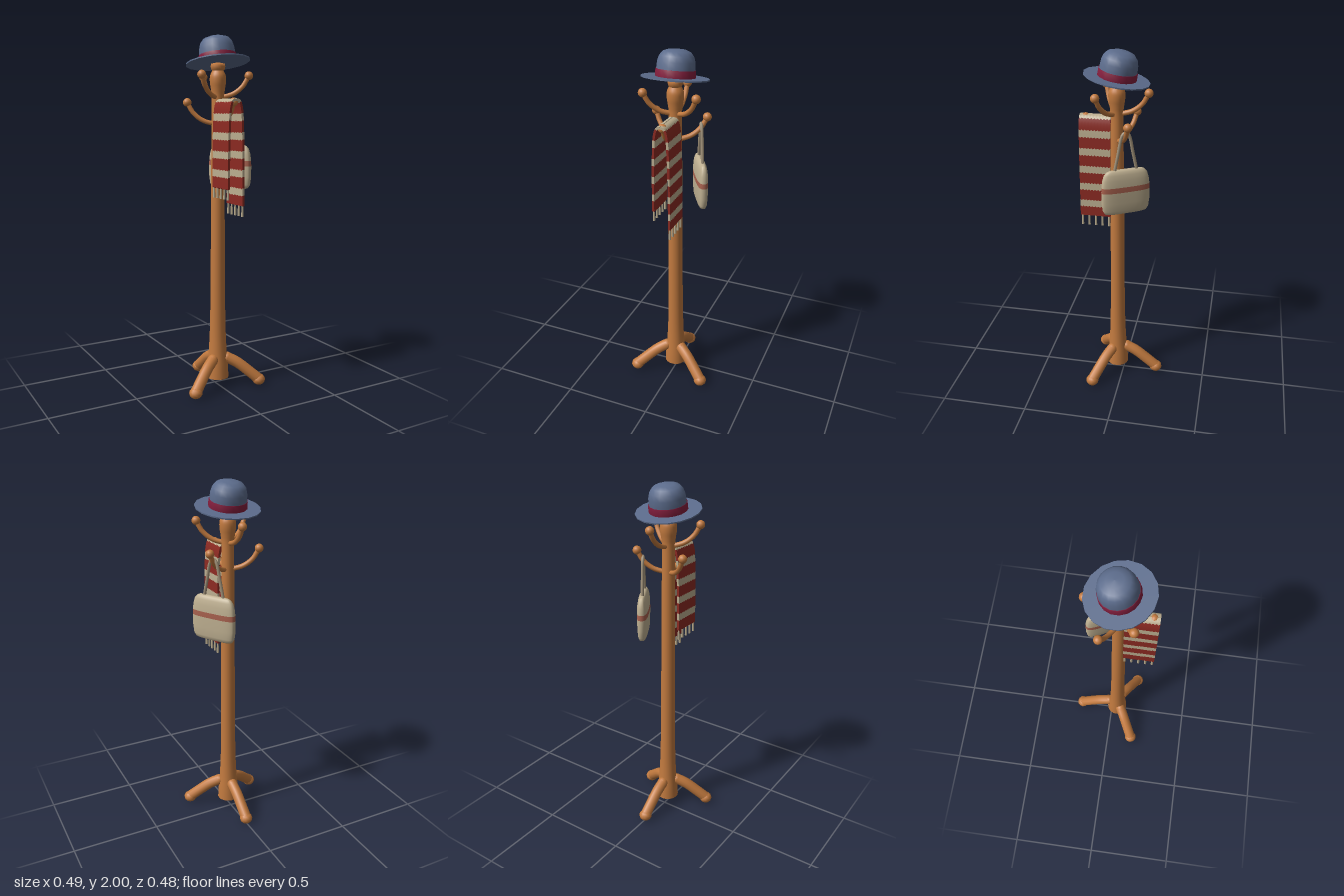
import * as THREE from 'three';

const mat = (name, color) => {
  const m = new THREE.MeshStandardMaterial({ color });
  m.name = name;
  return m;
};

const V3 = (x, y, z) => new THREE.Vector3(x, y, z);
const V2 = pts => pts.map(p => new THREE.Vector2(p[0], p[1]));

export function createModel() {
  const wood = mat('wood', 0xc27a3f);
  const felt = mat('hat felt', 0x5c6c8c);
  const ribbon = mat('hat ribbon', 0x861f3f);
  const red = mat('scarf red', 0x8c2a22);
  const cream = mat('scarf cream', 0xbcae90);
  const canvas = mat('bag canvas', 0xc0b192);
  const bagBand = mat('bag stripe', 0xa8614e);
  const strapMat = mat('bag strap', 0x9f9078);

  const root = new THREE.Group();
  root.name = 'coatStand';
  const stand = new THREE.Group();
  stand.name = 'stand';
  stand.position.z = 0.037;
  root.add(stand);

  const add = (parent, name, geo, material, x = 0, y = 0, z = 0) => {
    const m = new THREE.Mesh(geo, material);
    m.name = name;
    m.position.set(x, y, z);
    parent.add(m);
    return m;
  };
  const group = (parent, name, angle = 0) => {
    const g = new THREE.Group();
    g.name = name;
    g.rotation.y = angle;
    parent.add(g);
    return g;
  };
  const tube = (pts, r, seg, sides) =>
    new THREE.TubeGeometry(new THREE.CatmullRomCurve3(pts), seg, r, sides);

  // Turned pole with a flared foot, swollen head and collar
  const pole = new THREE.SplineCurve(V2([
    [0.064, 0.052], [0.06, 0.12], [0.052, 0.22], [0.046, 0.35], [0.042, 0.6],
    [0.039, 1.1], [0.036, 1.5], [0.035, 1.66], [0.039, 1.71], [0.045, 1.75],
    [0.044, 1.785], [0.032, 1.812]])).getPoints(44);
  add(stand, 'pole', new THREE.LatheGeometry(pole, 20), wood);
  add(stand, 'poleBase', new THREE.CylinderGeometry(0.064, 0.064, 0.004, 20), wood, 0, 0.052, 0);
  add(stand, 'collar', new THREE.LatheGeometry(
    V2([[0.03, 1.81], [0.038, 1.82], [0.041, 1.835], [0.038, 1.85], [0, 1.858]]), 20), wood);

  // Three bent legs with rounded feet
  const third = Math.PI * 2 / 3;
  for (let i = 0; i < 3; i++) {
    const leg = group(stand, 'leg', Math.PI + i * third);
    add(leg, 'legBar', tube([V3(0, 0.166, 0.055), V3(0, 0.135, 0.115),
      V3(0, 0.085, 0.18), V3(0, 0.036, 0.24)], 0.032, 12, 12), wood);
    add(leg, 'legTop', new THREE.SphereGeometry(0.032, 12, 8), wood, 0, 0.166, 0.055);
    add(leg, 'foot', new THREE.SphereGeometry(0.038, 12, 8), wood, 0, 0.033, 0.241)
      .scale.y = 0.87;
  }

  // Two tiers of three curved hooks, each ending in a ball
  [[1.785, Math.PI, 'upperHook'], [1.64, 0, 'lowerHook']].forEach(([y, start, name]) => {
    for (let i = 0; i < 3; i++) {
      const hook = group(stand, name, start + i * third);
      add(hook, 'hookArm', tube([V3(0, y - 0.118, 0.02), V3(0, y - 0.098, 0.085),
        V3(0, y - 0.058, 0.136), V3(0, y, 0.17)], 0.0135, 14, 10), wood);
      add(hook, 'hookBall', new THREE.SphereGeometry(0.024, 14, 10), wood, 0, y, 0.17);
    }
  });

  // Hat tipped backwards on the collar
  const hat = group(stand, 'hat');
  hat.position.y = 1.857;
  hat.rotation.x = -0.185;
  add(hat, 'brim', new THREE.CylinderGeometry(0.178, 0.178, 0.007, 17), felt);
  add(hat, 'crown', new THREE.LatheGeometry(V2([[0.102, 0], [0.1, 0.05], [0.098, 0.08],
    [0.09, 0.108], [0.072, 0.13], [0.042, 0.141], [0, 0.144]]), 17), felt);
  add(hat, 'hatBand', new THREE.LatheGeometry(V2([[0.1, 0.004], [0.105, 0.004],
    [0.104, 0.042], [0.099, 0.042]]), 17), ribbon);

  // Striped scarf folded over the front hook, one end longer
  const scarf = group(stand, 'scarf');
  scarf.position.z = 0.115;
  const drape = new THREE.CatmullRomCurve3([V3(0, 1.653, 0), V3(0.019, 1.647, 0),
    V3(0.032, 1.615, 0), V3(0.041, 1.5, 0), V3(0.045, 1.3, 0), V3(0.046, 1.08, 0)]);
  const length = drape.getLength();
  const width = 0.172, teeth = 20;
  const place = (s, out) => {
    const u = THREE.MathUtils.clamp(s / length, 0, 1);
    const p = drape.getPointAt(u), t = drape.getTangentAt(u);
    return p.set(p.x - t.y * out, p.y + t.x * out, 0);
  };
  // Bend a thin box along the drape, with toothed stripe edges
  const clothBand = (s0, h) => {
    const g = new THREE.BoxGeometry(0.013, h, width, 1, 5, teeth);
    const pos = g.attributes.position;
    for (let i = 0; i < pos.count; i++) {
      const z = pos.getZ(i);
      let s = s0 + h / 2 - pos.getY(i);
      const odd = Math.round((z / width + 0.5) * teeth) % 2;
      if (odd && s > 0.001) s += 0.006;
      const p = place(s, pos.getX(i));
      pos.setXYZ(i, p.x, p.y, z);
    }
    g.computeVertexNormals();
    return g;
  };
  [[0, 6, 'scarfLongEnd'], [Math.PI, 5, 'scarfShortEnd']].forEach(([angle, reds, name]) => {
    const end = group(scarf, name, angle);
    let s = 0;
    for (let i = 0; i < reds; i++) {
      const h = i ? 0.04 : 0.028;
      add(end, 'creamBand', clothBand(s, h), cream);
      add(end, 'redBand', clothBand(s + h, 0.061), red);
      s += h + 0.061;
    }
    const hem = place(s, 0);
    for (let k = -2; k <= 2; k++) {
      add(end, 'tassel', new THREE.CylinderGeometry(0.005, 0.007, 0.064, 6), cream,
        hem.x, hem.y - 0.028, k * 0.038);
    }
  });

  // Soft bag hanging from a rear hook, built from stacked rounded rings
  const bag = group(stand, 'bag', third);
  bag.position.set(Math.sin(third) * 0.138, 0, Math.cos(third) * 0.138);
  const rows = [[1.15, 0, 0], [1.15, 0.1, 0.012], [1.156, 0.118, 0.021], [1.175, 0.13, 0.027],
    [1.22, 0.136, 0.03], [1.282, 0.136, 0.031], [1.312, 0.135, 0.031], [1.35, 0.13, 0.029],
    [1.38, 0.121, 0.024], [1.396, 0.107, 0.017], [1.403, 0.09, 0.009], [1.403, 0, 0]];
  const sides = 28, verts = [], index = [];
  const rounded = v => Math.sign(v) * Math.abs(v) ** (2 / 3);
  rows.forEach(([y, w, t]) => {
    for (let k = 0; k < sides; k++) {
      const a = k / sides * Math.PI * 2;
      verts.push(w * rounded(Math.cos(a)), y, t * rounded(Math.sin(a)));
    }
  });
  const bagGeo = new THREE.BufferGeometry();
  for (let r = 0; r < rows.length - 1; r++) {
    bagGeo.addGroup(index.length, sides * 6, r === 5 ? 1 : 0);
    for (let k = 0; k < sides; k++) {
      const a = r * sides + k, b = r * sides + (k + 1) % sides;
      index.push(a, a + sides, b, b, a + sides, b + sides);
    }
  }
  bagGeo.setAttribute('position', new THREE.Float32BufferAttribute(verts, 3));
  bagGeo.setIndex(index);
  bagGeo.computeVertexNormals();
  add(bag, 'bagBody', bagGeo, [canvas, bagBand]);
  add(bag, 'strap', tube([V3(-0.064, 1.385, 0), V3(-0.042, 1.49, 0), V3(-0.018, 1.592, 0),
    V3(0, 1.607, 0), V3(0.018, 1.592, 0), V3(0.042, 1.49, 0), V3(0.064, 1.385, 0)],
    0.009, 32, 8), strapMat);

  return root;
}
